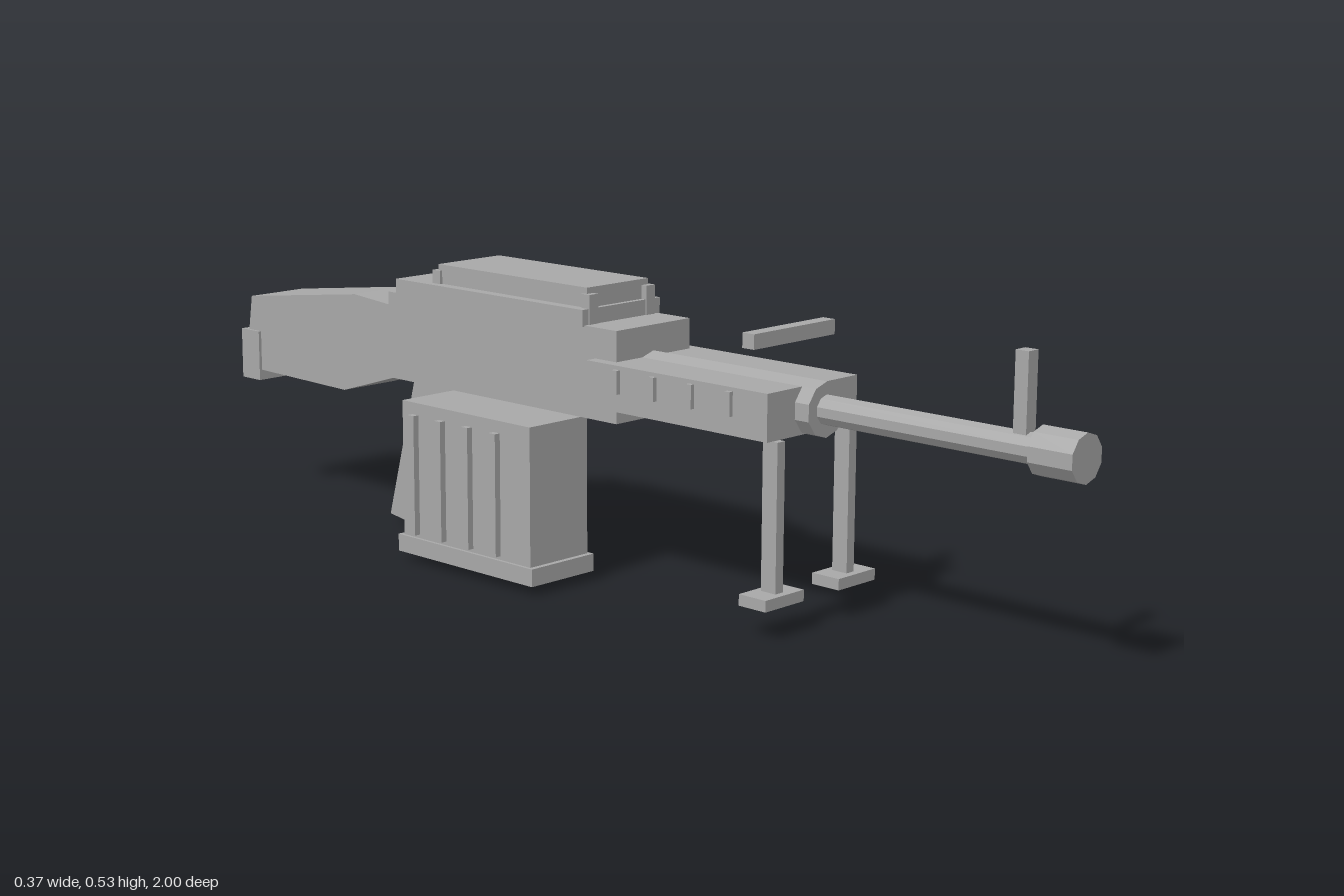
import * as THREE from 'three';

const MID = 0.043; // x of the weapon's centre line

export function createModel() {
  const model = new THREE.Group();
  model.name = 'machineGun';
  const metal = new THREE.MeshStandardMaterial({ color: 0xa8a8a8 });
  metal.name = 'greyMetal';

  const add = (name, geometry) => {
    const mesh = new THREE.Mesh(geometry, metal);
    mesh.name = name;
    model.add(mesh);
    return mesh;
  };

  // Box given by its limits on each axis
  const box = (name, x0, x1, y0, y1, z0, z1) =>
    add(name, new THREE.BoxGeometry(x1 - x0, y1 - y0, z1 - z0)
      .translate((x0 + x1) / 2, (y0 + y1) / 2, (z0 + z1) / 2));

  // Box centred on the centre line
  const midBox = (name, half, y0, y1, z0, z1) => box(name, MID - half, MID + half, y0, y1, z0, z1);

  // Faceted cylinder along z
  const tube = (name, r, z0, z1) =>
    add(name, new THREE.CylinderGeometry(r, r, z1 - z0, 10).toNonIndexed()
      .rotateX(Math.PI / 2).translate(MID, 0.373, (z0 + z1) / 2)).geometry.computeVertexNormals();

  // Side profile of [z, y] points, extruded across x
  const profile = (name, half, points) => {
    const shape = new THREE.Shape(points.map(([z, y]) => new THREE.Vector2(-z, y)));
    add(name, new THREE.ExtrudeGeometry(shape, { depth: half * 2, bevelEnabled: false })
      .rotateY(Math.PI / 2).translate(MID - half, 0, 0));
  };

  // Receiver with top plate and feed cover
  midBox('receiver', 0.093, 0.302, 0.467, -0.515, 0.088);
  midBox('topPlate', 0.098, 0.465, 0.495, -0.487, 0.01);
  midBox('feedCover', 0.077, 0.495, 0.531, -0.39, 0);
  for (const side of [-1, 1]) {
    const x = MID + side * 0.072;
    for (const z of [0.002, -0.39]) box('coverHinge', x - 0.011, x + 0.011, 0.465, 0.52, z - 0.01, z + 0.01);
  }

  // Barrel
  tube('barrelSleeve', 0.048, 0.05, 0.485);
  tube('barrel', 0.026, 0.48, 0.93);
  tube('muzzle', 0.041, 0.917, 1);

  // Handguard with side vents
  midBox('handguard', 0.115, 0.33, 0.412, 0.037, 0.455);
  for (const side of [-1, 1]) {
    for (let i = 0; i < 4; i++) {
      const x = MID + side * 0.119, z = 0.112 + i * 0.087;
      box('vent', x - 0.004, x + 0.004, 0.363, 0.405, z - 0.006, z + 0.006);
    }
  }

  // Sights
  midBox('frontSight', 0.0125, 0.395, 0.527, 0.87, 0.895);
  midBox('rearSight', 0.103, 0.478, 0.504, 0.388, 0.414);

  // Bipod
  for (const side of [-1, 1]) {
    const x = MID + side * 0.0925;
    box('bipodLeg', x - 0.0095, x + 0.0095, 0.07, 0.33, 0.435, 0.467);
    const fx = MID + side * 0.094;
    box('bipodFoot', fx - 0.0485, fx + 0.0485, 0.052, 0.072, 0.422, 0.481);
  }

  // Ammunition box on the right side
  box('ammoBox', -0.175, -0.034, 0.05, 0.302, -0.335, 0);
  box('ammoBoxBase', -0.181, -0.028, 0.018, 0.05, -0.345, 0.01);
  for (let i = 0; i < 4; i++) {
    const z = -0.3 + i * 0.072;
    box('ammoBoxRib', -0.187, -0.174, 0.057, 0.28, z - 0.008, z + 0.008);
  }

  // Trigger block and grip
  midBox('triggerBlock', 0.022, 0.198, 0.286, -0.246, -0.165);
  profile('grip', 0.0485, [[-0.355, 0.225], [-0.41, 0.306], [-0.492, 0.306], [-0.572, 0.017], [-0.455, 0.001]]);

  // Stock and butt pad
  profile('stock', 0.065, [[-0.51, 0.432], [-0.648, 0.443], [-0.972, 0.402], [-0.985, 0.32],
    [-0.96, 0.254], [-0.685, 0.249], [-0.51, 0.302]]);
  midBox('buttPad', 0.071, 0.233, 0.333, -1, -0.945);

  return model;
}
